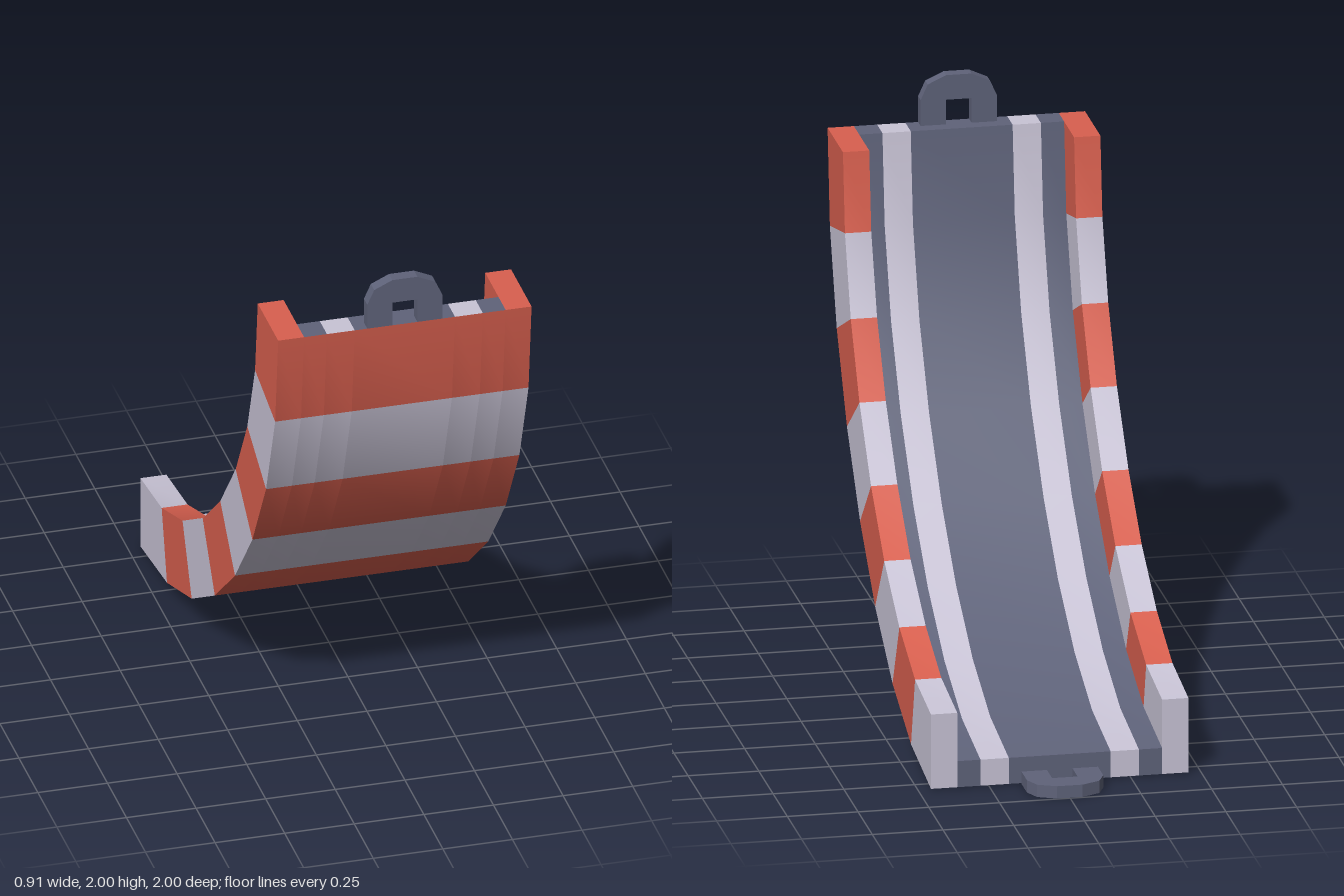
import * as THREE from 'three';
import { toCreasedNormals } from 'three/addons/utils/BufferGeometryUtils.js';

const material = (name, color) => new THREE.MeshStandardMaterial({ name, color });

// Side profiles as [z, y], from the raised end down to the low end
const OUTER = [[1, 1.82], [0.96, 1.475], [0.84, 1.14], [0.66, 0.84], [0.43, 0.57],
  [0.165, 0.345], [-0.14, 0.165], [-0.465, 0.05], [-0.815, 0.003]];
const INNER = [[0.73, 1.82], [0.695, 1.535], [0.593, 1.255], [0.44, 1.0], [0.237, 0.762],
  [0.005, 0.565], [-0.26, 0.41], [-0.535, 0.31], [-0.815, 0.275]];
const SEGMENTS = OUTER.length - 1;
const FLOOR = 0.35; // road height as a share of the rail height
const [RED, WHITE, DARK] = [0, 1, 2];

// Point on the curve: t = 0 on the underside, t = 1 on the rail top
function point(i, x, t) {
  const [z0, y0] = OUTER[i], [z1, y1] = INNER[i];
  return [x, y0 + (y1 - y0) * t, z0 + (z1 - z0) * t];
}

// Sweeps a box section along the curve; sides are 0 underside, 1 left, 2 top, 3 right
function sweep(name, x0, x1, height, sides, colourOf, materials) {
  const section = [[x0, 0], [x1, 0], [x1, height], [x0, height]];
  const buckets = materials.map(() => []);
  const quad = (m, a, b, c, d) => buckets[m].push(...a, ...b, ...c, ...a, ...c, ...d);
  for (let i = 0; i < SEGMENTS; i++) {
    for (const s of sides) {
      const a = section[s], b = section[(s + 1) % 4];
      quad(colourOf(i, s), point(i, ...a), point(i + 1, ...a), point(i + 1, ...b), point(i, ...b));
    }
  }
  // End caps
  quad(colourOf(0, 2), ...section.map((p) => point(0, ...p)));
  quad(colourOf(SEGMENTS - 1, 2), ...section.map((p) => point(SEGMENTS, ...p)).reverse());

  let geometry = new THREE.BufferGeometry();
  geometry.setAttribute('position', new THREE.Float32BufferAttribute(buckets.flat(), 3));
  let start = 0;
  buckets.forEach((bucket, m) => {
    if (bucket.length) geometry.addGroup(start, bucket.length / 3, m);
    start += bucket.length / 3;
  });
  geometry = toCreasedNormals(geometry, 0.5);
  const mesh = new THREE.Mesh(geometry, materials);
  mesh.name = name;
  return mesh;
}

// Flat connector loop with a square opening
function connectorGeometry() {
  const half = [[0.045, 0], [0.135, 0], [0.135, 0.095], [0.11, 0.15], [0.045, 0.18]];
  const mirrored = half.map(([x, y]) => [-x, y]).reverse();
  const outline = [...half, ...mirrored, [-0.045, 0.09], [0.045, 0.09]];
  const shape = new THREE.Shape(outline.map(([x, y]) => new THREE.Vector2(x, y)));
  return new THREE.ExtrudeGeometry(shape, { depth: 0.045, bevelEnabled: false });
}

export function createModel() {
  const model = new THREE.Group();
  model.name = 'curvedTrackRamp';
  const materials = [
    material('red', 0xd9604f), material('paleGrey', 0xc9c4d6), material('slate', 0x5f637a),
  ];
  const band = (i) => (i % 2 ? WHITE : RED);

  // Striped side rails
  model.add(sweep('leftRail', 0.362, 0.455, 1, [0, 1, 2, 3], band, materials));
  model.add(sweep('rightRail', -0.455, -0.362, 1, [0, 1, 2, 3], band, materials));

  // Road lanes, with the banded underside beneath
  const edges = [-0.362, -0.28, -0.18, 0.18, 0.28, 0.362];
  const names = ['rightEdge', 'rightLine', 'roadway', 'leftLine', 'leftEdge'];
  names.forEach((name, n) => {
    const lane = n % 2 ? WHITE : DARK;
    const colour = (i, side) => (side === 0 ? band(i) : lane);
    model.add(sweep(name, edges[n], edges[n + 1], FLOOR, [0, 2], colour, materials));
  });

  // Connector loops at both ends
  const loop = connectorGeometry();
  const top = new THREE.Mesh(loop, materials[DARK]);
  top.name = 'topConnector';
  top.position.set(0, 1.82, 0.955);
  const bottom = new THREE.Mesh(loop, materials[DARK]);
  bottom.name = 'bottomConnector';
  bottom.rotation.x = -Math.PI / 2;
  bottom.position.set(0, 0, -0.815);
  model.add(top, bottom);
  return model;
}
